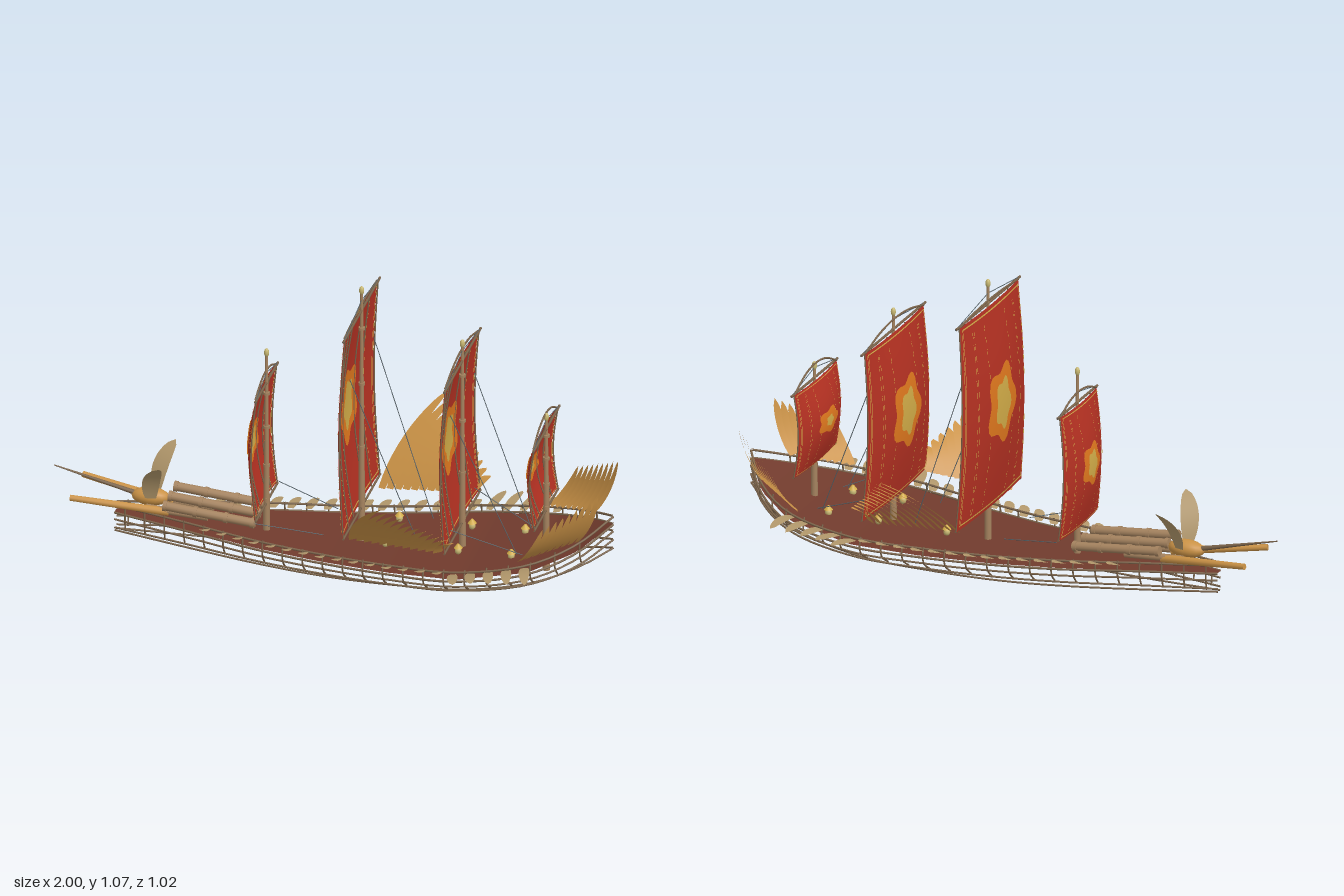
import * as THREE from 'three';
import { ParametricGeometry } from 'three/addons/geometries/ParametricGeometry.js';

const V = (x, y, z) => new THREE.Vector3(x, y, z);
const lerp = THREE.MathUtils.lerp;

export function createModel() {
  const ship = new THREE.Group();
  ship.name = 'sailingShip';
  const mat = (name, color, double) => {
    const m = new THREE.MeshStandardMaterial({ color });
    m.name = name;
    if (double) m.side = THREE.DoubleSide;
    return m;
  };
  const M = {
    deck: mat('deckBrown', 0x713b2d, true),
    sail: mat('sailRed', 0xb53122, true),
    orange: mat('emblemOrange', 0xe0781e, true),
    gold: mat('trimGold', 0xd2ac48, true),
    mast: mat('mastWood', 0xa5835f),
    rail: mat('railWood', 0x7a634a),
    brass: mat('brass', 0xca9246, true),
    bulb: mat('paleGold', 0xc8b872),
    blade: mat('paleBlade', 0xb0966a, true),
    rope: mat('ropeGrey', 0x59646a),
  };
  const add = (name, geo, material, parent = ship) => {
    const m = new THREE.Mesh(geo, material);
    m.name = name;
    parent.add(m);
    return m;
  };
  // straight tapered rod between two points
  const rod = (name, a, b, ra, rb, material, parent, sides = 10) => {
    const m = add(name, new THREE.CylinderGeometry(rb, ra, a.distanceTo(b), sides), material, parent);
    m.position.copy(a).add(b).multiplyScalar(0.5);
    m.quaternion.setFromUnitVectors(V(0, 1, 0), b.clone().sub(a).normalize());
  };
  const tube = (name, pts, r, material, parent, seg = 40) =>
    add(name, new THREE.TubeGeometry(new THREE.CatmullRomCurve3(pts), seg, r, 10), material, parent);
  const ball = (name, p, rx, ry, rz, material, parent) => {
    const m = add(name, new THREE.SphereGeometry(1, 16, 12), material, parent);
    m.position.copy(p);
    m.scale.set(rx, ry, rz);
  };
  // curved leaf-shaped blade with a blunt root
  const feather = (name, root, mid, tip, width, side, material, parent) => {
    const curve = new THREE.QuadraticBezierCurve3(root, mid, tip);
    const pos = [], idx = [], n = 10;
    for (let i = 0; i <= n; i++) {
      const t = i / n, p = curve.getPoint(t);
      const w = width / 2 * Math.max(0.02, Math.sqrt(Math.sin(Math.PI * (0.12 + 0.88 * t))));
      for (const s of [-w, w]) pos.push(...p.clone().addScaledVector(side, s).toArray());
      if (i < n) idx.push(2 * i, 2 * i + 1, 2 * i + 2, 2 * i + 1, 2 * i + 3, 2 * i + 2);
    }
    const g = new THREE.BufferGeometry();
    g.setAttribute('position', new THREE.Float32BufferAttribute(pos, 3));
    g.setIndex(idx);
    g.computeVertexNormals();
    add(name, g, material, parent);
  };

  // hull stations: x, deck height, half beam, keel height
  const stations = [
    [-0.78, 0.122, 0.015, 0.05], [-0.5, 0.115, 0.09, 0.03], [-0.24, 0.107, 0.16, 0.015],
    [0, 0.102, 0.205, 0.006], [0.25, 0.107, 0.25, 0.012], [0.5, 0.122, 0.285, 0.03],
    [0.75, 0.158, 0.245, 0.075], [0.9, 0.205, 0.14, 0.125], [1, 0.262, 0.003, 0.17]];
  const at = (x, k) => {
    let i = 0;
    while (i < stations.length - 2 && x > stations[i + 1][0]) i++;
    const a = stations[i], b = stations[i + 1];
    return lerp(a[k], b[k], (x - a[0]) / (b[0] - a[0]));
  };

  // thin deck
  add('deck', new ParametricGeometry((u, v, t) => {
    const x = lerp(-0.78, 1, u);
    t.set(x, at(x, 1), (2 * v - 1) * at(x, 2));
  }, 60, 2), M.deck);

  // open hull frame: rails, stringers, keel lines, ribs
  const frame = new THREE.Group();
  frame.name = 'hullFrame';
  ship.add(frame);
  const strips = [[0.028, 1, 0.004], [-0.002, 1.04, 0.004], [-0.028, 0.99, 0.0035], [-0.06, 0.86, 0.0035]];
  for (const s of [-1, 1]) {
    strips.forEach(([dy, k, r]) =>
      tube('stringer', stations.map(p => V(p[0], p[1] + dy, s * p[2] * k)), r, M.rail, frame));
    tube('keelLine', stations.map(p => V(p[0], p[3], s * p[2] * 0.58)), 0.0035, M.rail, frame);
    for (let x = -0.74; x < 0.98; x += 0.075) {
      const y = at(x, 1), z = s * at(x, 2);
      tube('rib', [V(x, y + 0.035, z), V(x, y, z * 1.04), V(x, y - 0.03, z * 0.99), V(x, y - 0.064, z * 0.8)],
        0.003, M.rail, frame, 8);
    }
  }

  // masts with square sails: x, mast top, sail top, sail bottom, half width top and bottom, yard arch, emblem and core size
  const rigs = [
    [-0.24, 0.8, 0.67, 0.21, 0.155, 0.165, 0.04, 0.16, 0.22], [0.1, 1.075, 0.985, 0.23, 0.25, 0.278, 0.014, 0.18, 0.22],
    [0.46, 0.91, 0.83, 0.21, 0.25, 0.272, 0.04, 0.2, 0.22], [0.76, 0.66, 0.6, 0.29, 0.18, 0.18, 0.055, 0.135, 0.15]];
  rigs.forEach(([mx, top, y1, y0, w1, w0, arch, emblemT, core]) => {
    const rig = new THREE.Group();
    rig.name = 'mastAndSail';
    ship.add(rig);
    const low = lerp(y0, y1, 0.3);
    rod('lowerMast', V(mx, 0.06, 0), V(mx, low, 0), 0.013, 0.01, M.mast, rig);
    rod('upperMast', V(mx, low, 0), V(mx, top - 0.02, 0), 0.009, 0.005, M.mast, rig);
    ball('mastFinial', V(mx, top - 0.015, 0), 0.009, 0.016, 0.009, M.bulb, rig);
    for (const t of [0.02, 0.3, 0.62, 0.9])
      rod('mastCollar', V(mx, lerp(y0, y1, t), 0), V(mx, lerp(y0, y1, t) + 0.01, 0), 0.012, 0.012, M.mast, rig);

    // point on the billowing sail: s across (-1..1), t up (0..1)
    const bulge = (s, t) => 0.042 * Math.sin(Math.PI * t) * (1 - 0.6 * s * s) + 0.01 * (1 - s * s);
    const surf = (s, t, off, out) =>
      out.set(mx - 0.004 - bulge(s, t) + off, lerp(y0, y1, t), s * lerp(w0, w1, t));
    const patch = (name, s0, s1, t0, t1, off, material, nu, nv) => add(name,
      new ParametricGeometry((u, v, o) => surf(lerp(s0, s1, u), lerp(t0, t1, v), off, o), nu, nv), material, rig);
    patch('sail', -1, 1, 0, 1, 0, M.sail, 20, 20);
    for (const off of [-0.003, 0.003]) {
      for (const s of [-1, 1]) {
        for (const e of [0.925, 0.955]) patch('sailTrim', s * e, s * (e + 0.01), 0.02, 0.98, off, M.gold, 1, 20);
        // stitched inner lines
        for (let i = 0; i < 16; i++) {
          const t = 0.04 + i * 0.058;
          for (const e of [0.34, 0.64, 0.68]) patch('stitch', s * e, s * (e + 0.01), t, t + 0.03, off, M.gold, 1, 1);
        }
      }
      for (const t of [0.02, 0.978]) patch('sailTrim', -0.95, 0.95, t, t + 0.007, off, M.gold, 20, 1);
      // emblem with a wavy outline and a bright core
      const emblem = (name, rs, rt, o2, material) => add(name, new ParametricGeometry((u, v, o) => {
        const a = u * Math.PI * 2, r = v * (1 + 0.14 * Math.cos(5 * a + 0.6));
        surf(rs * r * Math.cos(a), 0.52 + rt * r * Math.sin(a), o2, o);
      }, 36, 5), material, rig);
      emblem('emblem', 0.42, emblemT, off * 1.5, M.orange);
      emblem('emblemCore', core, emblemT * core * 3, off * 2, M.gold);
    }
    // battens, yards and lifts
    for (const s of [-0.99, -0.62, -0.31, 0.31, 0.62, 0.99]) {
      const pts = [];
      for (let i = 0; i <= 8; i++) pts.push(surf(s, i / 8, 0.004, V(0, 0, 0)));
      tube('batten', pts, 0.0025, M.rail, rig, 16);
    }
    rod('yard', V(mx, y1, -w1 * 1.1), V(mx, y1, w1 * 1.1), 0.0045, 0.0045, M.rail, rig);
    rod('lowerYard', V(mx, y0, -w0), V(mx, y0, w0), 0.004, 0.004, M.rail, rig);
    tube('archedYard', [-1, -0.5, 0, 0.5, 1].map(s => V(mx - 0.004, y1 + arch * (1 - s * s), s * w1)),
      0.0035, M.rail, rig, 16);
    for (const s of [-1, 1])
      rod('lift', V(mx, y1, s * w1 * 1.12), V(mx, y1 + 0.038, 0), 0.0015, 0.0015, M.rope, rig);
  });

  // both sides: wings, oar blades, lanterns, ropes, stern gear
  for (const s of [-1, 1]) {
    const side = new THREE.Group();
    side.name = s > 0 ? 'leftFittings' : 'rightFittings';
    ship.add(side);
    const P = (x, y, z) => V(x, y, s * z);

    // large wing of overlapping tilted feathers
    for (let i = 0; i < 12; i++) {
      const t = i / 11;
      const root = P(lerp(0.12, 0.43, t), 0.205, lerp(0.215, 0.255, t));
      const tip = P(lerp(0.29, 0.49, t), lerp(0.47, 0.26, t), lerp(0.51, 0.29, t));
      const mid = root.clone().lerp(tip, 0.5).add(P(-0.035 * (1 - t), 0.025, 0));
      feather('wingFeather', root, mid, tip, 0.052, P(0.84, 0.1, -0.42), M.brass, side);
    }
    // bow wing
    for (let i = 0; i < 9; i++) {
      const t = i / 8;
      const root = P(lerp(0.72, 0.9, t), lerp(0.195, 0.24, t), lerp(0.235, 0.13, t));
      const tip = P(lerp(0.81, 0.98, t), lerp(0.34, 0.43, t), lerp(0.27, 0.155, t));
      const mid = root.clone().lerp(tip, 0.5).add(P(0.015, -0.02, 0.015));
      feather('bowFeather', root, mid, tip, 0.04, P(0.5, -0.06, -0.86), M.brass, side);
    }
    // flat blades along the hull
    for (let i = 0; i < 20; i++) {
      const x = -0.44 + i * 0.062, big = x > 0.45;
      const y = at(x, 1) + 0.015, z = at(x, 2), len = big ? 0.115 : 0.045;
      const lean = big ? 0.03 : 0.02;
      feather('oarBlade', P(x, y, z - 0.01), P(x + lean * 0.4, y + 0.02, z + len * 0.5),
        P(x + lean, Math.min(y + 0.02, 0.165), z + len), 0.038, P(0.97, 0.12, -0.2), M.blade, side);
    }
    for (const x of [0.21, 0.47, 0.66]) {
      ball('lantern', P(x, 0.15, 0.105), 0.012, 0.014, 0.012, M.bulb, side);
      rod('lanternCap', P(x, 0.16, 0.105), P(x, 0.175, 0.105), 0.016, 0.004, M.gold, side);
    }
    const ropes = [[-0.24, 0.21, -0.01, 0.16], [0.1, 0.8, 0.33, 0.16], [0.46, 0.7, 0.68, 0.16], [0.46, 0.26, 0.7, 0.16]];
    for (const [x0, ya, x1, yb] of ropes)
      rod('rope', P(x0, ya, 0.18), P(x1, yb, 0.11), 0.0015, 0.0015, M.rope, side);

    rod('sternSpar', P(-0.58, 0.155, 0.04), P(-0.92, 0.2, 0.1), 0.015, 0.011, M.brass, side);
    rod('innerPipe', P(-0.66, 0.165, 0.042), P(-0.44, 0.15, 0.042), 0.013, 0.013, M.mast, side);
    feather('sternFin', P(-0.645, 0.2, 0.04), P(-0.645, 0.3, 0.07), P(-0.595, 0.355, 0.13), 0.065,
      P(0.9, -0.1, -0.4), M.blade, side);
  }

  // three long stern pipes with collars
  for (const z of [-0.083, 0, 0.083]) {
    const a = V(-0.59, 0.198, z), b = V(-0.26, 0.165, z);
    rod('sternPipe', a, b, 0.016, 0.016, M.mast, ship, 12);
    for (const t of [0, 0.33, 0.66, 0.95])
      rod('pipeCollar', a.clone().lerp(b, t), a.clone().lerp(b, t + 0.04), 0.019, 0.019, M.mast, ship, 12);
  }
  ball('sternBulb', V(-0.655, 0.19, 0), 0.068, 0.032, 0.036, M.brass);
  rod('sternSpike', V(-0.7, 0.195, 0), V(-1, 0.272, 0), 0.009, 0.002, M.rail);
  return ship;
}
